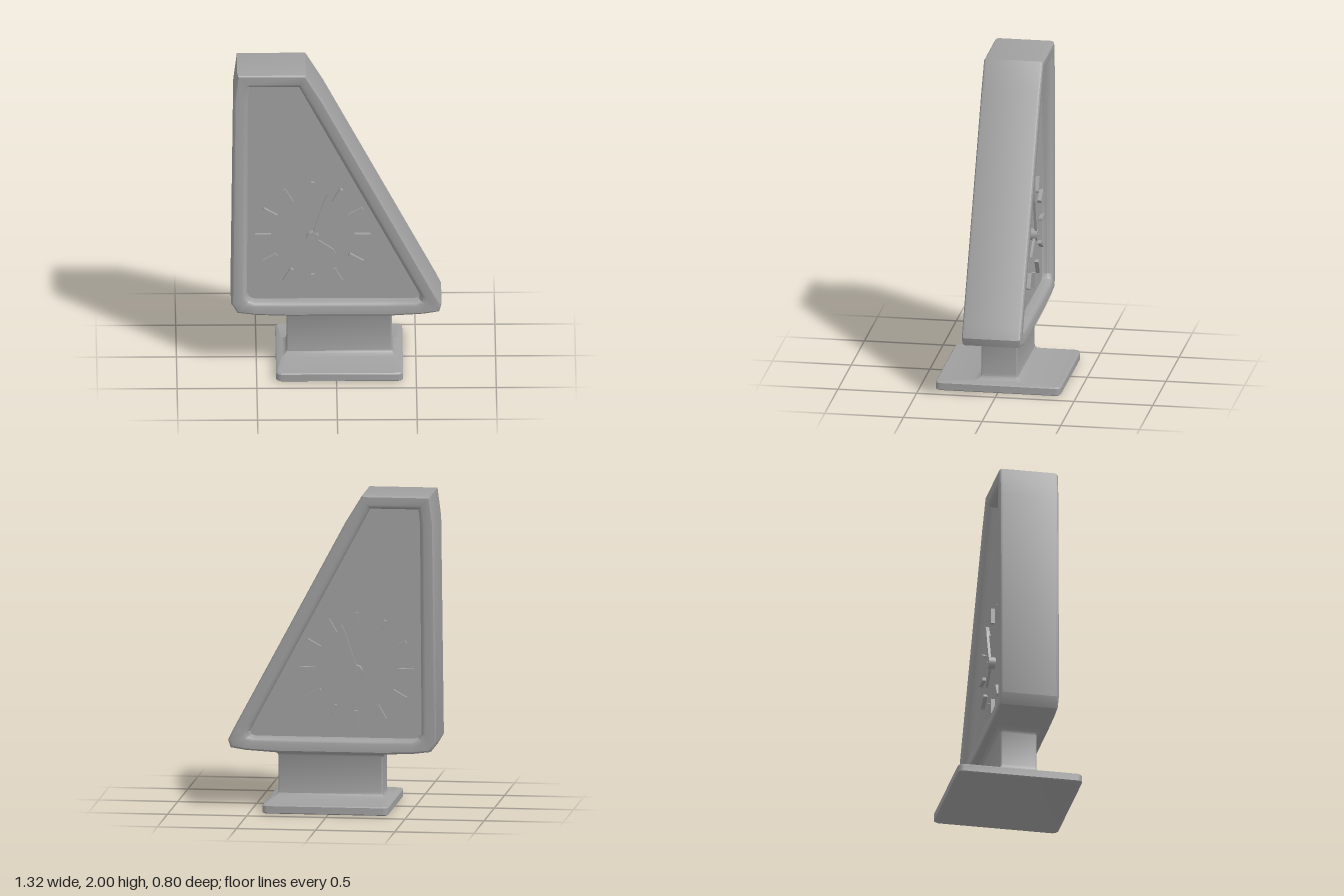
import * as THREE from 'three';
import { toCreasedNormals } from 'three/addons/utils/BufferGeometryUtils.js';

// Closed solid through rings of [x, y, z] points, counter-clockwise seen from +z
function loft(rings) {
  const n = rings[0].length;
  const index = [];
  for (let i = 0; i < rings.length - 1; i++) {
    for (let j = 0; j < n; j++) {
      const k = (j + 1) % n;
      const a = i * n + j, b = i * n + k, c = b + n, d = a + n;
      index.push(a, b, c, a, c, d);
    }
  }
  const cap = (ring) => THREE.ShapeUtils.triangulateShape(ring.map(([x, y]) => new THREE.Vector2(x, y)), []);
  const last = (rings.length - 1) * n;
  for (const [a, b, c] of cap(rings[0])) index.push(a, c, b);
  for (const [a, b, c] of cap(rings[rings.length - 1])) index.push(last + a, last + b, last + c);
  const geometry = new THREE.BufferGeometry();
  geometry.setAttribute('position', new THREE.Float32BufferAttribute(rings.flat(2), 3));
  geometry.setIndex(index);
  return toCreasedNormals(geometry, 0.6);
}

// Rounded rectangle ring at height z
function roundedRing(halfX, halfY, radius, z) {
  const points = [];
  const corners = [[1, 1], [-1, 1], [-1, -1], [1, -1]];
  corners.forEach(([sx, sy], q) => {
    for (let i = 0; i <= 4; i++) {
      const a = (q + i / 4) * Math.PI / 2;
      points.push([sx * (halfX - radius) + radius * Math.cos(a), sy * (halfY - radius) + radius * Math.sin(a), z]);
    }
  });
  return points;
}

export function createModel() {
  const model = new THREE.Group();
  model.name = 'tableClock';
  const grey = new THREE.MeshStandardMaterial({ color: 0xa0a0a0 });
  grey.name = 'plain grey';

  const add = (parent, name, geometry) => {
    const mesh = new THREE.Mesh(geometry, grey);
    mesh.name = name;
    parent.add(mesh);
    return mesh;
  };

  // Casing: leaning trapezoid with a raised rim around a sunken panel on both sides
  const outer = [[-0.62, 0.375], [-0.5, 0.36], [-0.3, 0.353], [0.35, 0.353], [0.55, 0.365], [0.645, 0.38],
    [0.66, 0.43], [0.625, 0.5], [-0.08, 1.82], [-0.19, 2], [-0.62, 2], [-0.643, 1.82], [-0.66, 0.44]];
  const inner = [[-0.54, 0.46], [-0.51, 0.45], [-0.3, 0.45], [0.3, 0.45], [0.49, 0.45], [0.52, 0.46],
    [0.525, 0.485], [0.502, 0.53], [-0.155, 1.76], [-0.235, 1.91], [-0.54, 1.91], [-0.55, 1.82], [-0.56, 0.49]];
  // Rim section: [share of the way from outer to inner outline, z]
  const rim = [[0, 0.168], [0.04, 0.181], [0.14, 0.188], [0.68, 0.188], [0.84, 0.182],
    [0.95, 0.168], [1, 0.15], [1, 0.12]];
  const section = [...rim.map(([t, z]) => [t, -z]).reverse(), ...rim];
  add(model, 'casing', loft(section.map(([t, z]) => outer.map(([x, y], i) => [
    x + (inner[i][0] - x) * t, y + (inner[i][1] - y) * t, z]))));

  // Stand: square foot flowing into a slab neck, [half x, half z, corner radius, y]
  const stand = [[0.39, 0.39, 0.03, 0], [0.398, 0.398, 0.035, 0.006], [0.398, 0.398, 0.035, 0.048],
    [0.39, 0.39, 0.03, 0.056], [0.36, 0.16, 0.015, 0.066], [0.342, 0.132, 0.012, 0.076], [0.332, 0.118, 0.01, 0.09],
    [0.33, 0.115, 0.01, 0.108], [0.33, 0.115, 0.01, 0.328], [0.338, 0.122, 0.01, 0.342],
    [0.36, 0.142, 0.012, 0.354], [0.38, 0.15, 0.012, 0.364]];
  const standGeometry = loft(stand.map((ring) => roundedRing(...ring)));
  add(model, 'stand', standGeometry.rotateX(-Math.PI / 2)).position.x = 0.02;

  // Tapered hand pointing up, centred on z
  const handGeometry = (length, base, width, depth) => {
    const shape = new THREE.Shape([[-base, 0], [base, 0], [width, length * 0.86], [0, length], [-width, length * 0.86]]
      .map(([x, y]) => new THREE.Vector2(x, y)));
    return new THREE.ExtrudeGeometry(shape, { depth, bevelEnabled: false }).translate(0, 0, -depth / 2);
  };
  const marker = new THREE.BoxGeometry(0.022, 0.1, 0.04);
  const hub = new THREE.CylinderGeometry(0.038, 0.038, 0.045, 24).rotateX(Math.PI / 2);
  const pin = new THREE.CylinderGeometry(0.006, 0.006, 0.01, 12).rotateX(Math.PI / 2);
  const minuteHand = handGeometry(0.305, 0.012, 0.008, 0.016);
  const hourHand = handGeometry(0.175, 0.007, 0.011, 0.016);

  // One dial on each side, the back one mirrored through the casing
  for (const side of [1, -1]) {
    const dial = new THREE.Group();
    dial.name = side > 0 ? 'frontDial' : 'backDial';
    dial.position.set(-0.147, 0.885, 0);
    model.add(dial);
    for (let i = 0; i < 12; i++) {
      const a = i * Math.PI / 6;
      const mark = add(dial, 'hourMarker', marker);
      mark.position.set(0.312 * Math.sin(a), 0.312 * Math.cos(a), side * 0.125);
      mark.rotation.z = -a;
    }
    add(dial, 'hub', hub).position.set(0, -0.01, side * 0.14);
    add(dial, 'hubPin', pin).position.set(0, -0.01, side * 0.166);
    const minute = add(dial, 'minuteHand', minuteHand);
    minute.position.set(0, -0.01, side * 0.151);
    minute.rotation.z = -0.305;
    const hour = add(dial, 'hourHand', hourHand);
    hour.position.set(0, -0.01, side * 0.143);
    hour.rotation.z = -2.2;
  }
  return model;
}
